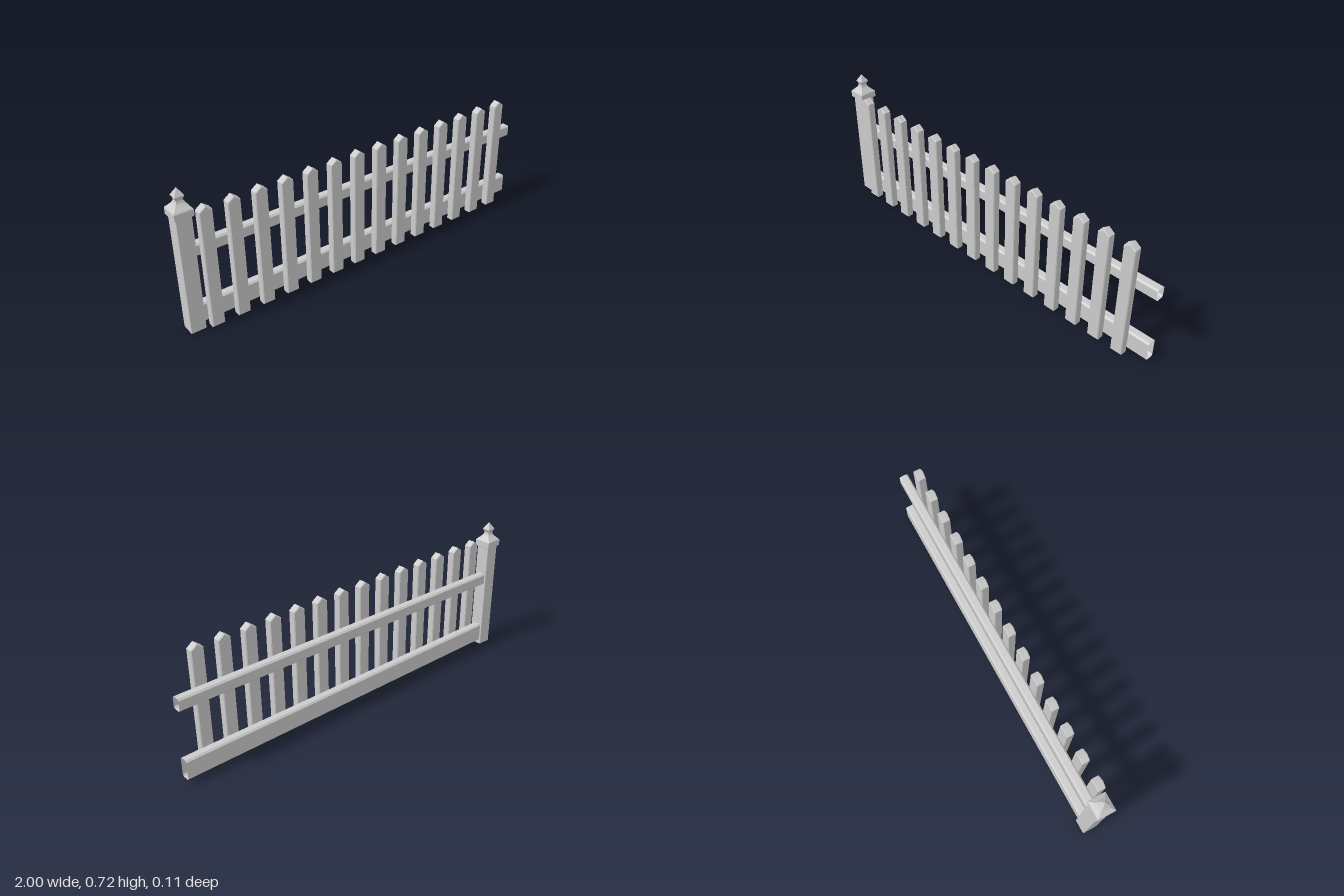
import * as THREE from 'three';

const material = new THREE.MeshStandardMaterial({ color: 0xcccccc, flatShading: true });
const openMaterial = new THREE.MeshStandardMaterial({ color: 0xcccccc, flatShading: true, side: THREE.DoubleSide });

function addMesh(parent, name, geometry, mat = material) {
  const mesh = new THREE.Mesh(geometry, mat);
  mesh.name = name;
  parent.add(mesh);
  return mesh;
}

// Pointed board with chamfered edges, back face at z = 0
function picketGeometry(halfWidth, bottom, shoulder, peak, depth, bevel) {
  const shape = new THREE.Shape([
    [-halfWidth, bottom], [halfWidth, bottom], [halfWidth, shoulder], [0, peak], [-halfWidth, shoulder],
  ].map(([x, y]) => new THREE.Vector2(x, y)));
  const geometry = new THREE.ExtrudeGeometry(shape, {
    depth: depth - 2 * bevel, bevelEnabled: true, bevelSegments: 1,
    bevelSize: bevel, bevelThickness: bevel, bevelOffset: -bevel,
  });
  return geometry.translate(0, 0, bevel);
}

// Rectangle outline with cut corners, counter-clockwise
function chamferedOutline(u0, u1, v0, v1, c) {
  return [
    [u0 + c, v0], [u1 - c, v0], [u1, v0 + c], [u1, v1 - c],
    [u1 - c, v1], [u0 + c, v1], [u0, v1 - c], [u0, v0 + c],
  ];
}

// Hollow rail along x with open ends; outline points are (z, y)
function railGeometry(x0, x1, outline) {
  const positions = [];
  outline.forEach(([z, y], i) => {
    const [zn, yn] = outline[(i + 1) % outline.length];
    positions.push(x0, y, z, x0, yn, zn, x1, yn, zn);
    positions.push(x0, y, z, x1, yn, zn, x1, y, z);
  });
  // Outline runs from +z to +y, so flip the corner order to face outwards
  for (let i = 0; i < positions.length; i += 9) {
    const second = positions.slice(i + 3, i + 6);
    const third = positions.slice(i + 6, i + 9);
    positions.splice(i + 3, 6, ...third, ...second);
  }
  const geometry = new THREE.BufferGeometry();
  geometry.setAttribute('position', new THREE.Float32BufferAttribute(positions, 3));
  geometry.computeVertexNormals();
  return geometry;
}

export function createModel() {
  const fence = new THREE.Group();
  fence.name = 'picketFence';

  // End post with a square turned cap
  const post = new THREE.Group();
  post.name = 'endPost';
  post.position.set(-0.955, 0, -0.008);
  fence.add(post);

  const shaft = new THREE.Shape(
    chamferedOutline(-0.037, 0.037, -0.036, 0.036, 0.002).map(([x, y]) => new THREE.Vector2(x, y)));
  const shaftGeometry = new THREE.ExtrudeGeometry(shaft, { depth: 0.592, bevelEnabled: false });
  addMesh(post, 'postShaft', shaftGeometry.rotateX(-Math.PI / 2));

  const capProfile = [
    [0, 0.59], [0.043, 0.59], [0.045, 0.592], [0.045, 0.622], [0.042, 0.627], [0.029, 0.64],
    [0.019, 0.652], [0.0145, 0.664], [0.0165, 0.672], [0.022, 0.684], [0.021, 0.687], [0, 0.722],
  ].map(([half, y]) => new THREE.Vector2(half * Math.SQRT2, y));
  addMesh(post, 'postCap', new THREE.LatheGeometry(capProfile, 4, Math.PI / 4));

  // Two horizontal rails
  const rails = [['lowerRail', 0.02, 0.123], ['upperRail', 0.373, 0.435]];
  for (const [name, y0, y1] of rails) {
    const outline = chamferedOutline(-0.035, 0.012, y0, y1, 0.008);
    addMesh(fence, name, railGeometry(-0.93, 1, outline), openMaterial);
  }

  // Evenly spaced pickets on the front of the rails
  const picket = picketGeometry(0.031, 0.004, 0.603, 0.626, 0.041, 0.004);
  for (let i = 0; i < 14; i++) {
    addMesh(fence, 'picket', picket).position.set(-0.866 + i * 0.133, 0, 0.011);
  }

  return fence;
}
